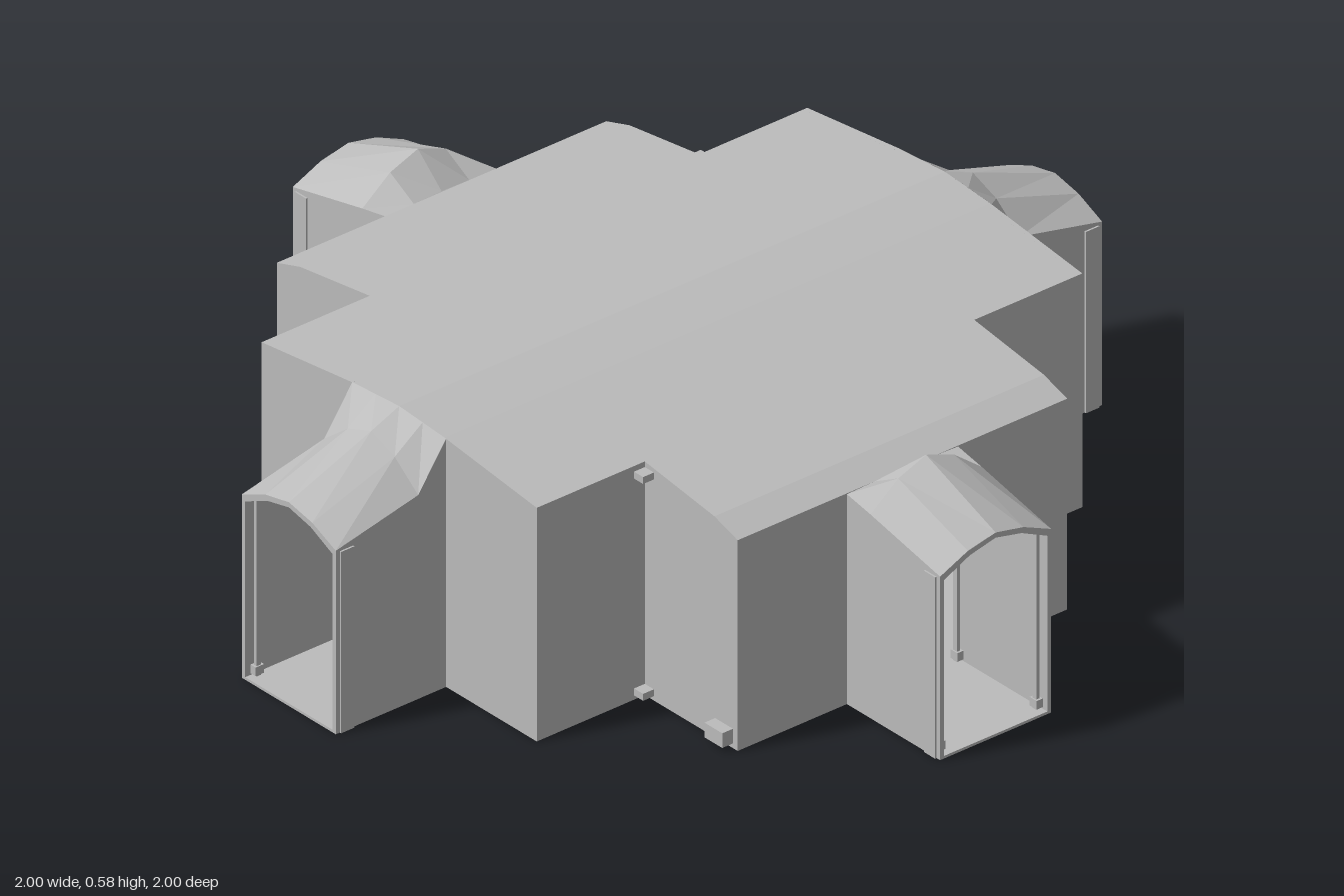
import * as THREE from 'three';

const fabric = new THREE.MeshStandardMaterial({ color: 0xbcbcbc, side: THREE.DoubleSide, flatShading: true });
fabric.name = 'greyFabric';

// Plan: a cross with arms IN..OUT, porches of half width P reaching END
const IN = 0.425, OUT = 0.712, P = 0.145, END = 1, T = 0.01;

// Right half of the curved roof line, [x, y]
const ROOF = [[0, 0.585], [0.14, 0.575], [IN, 0.541], [0.64, 0.511], [OUT, 0.488]];
const roofBetween = (a, b) => ROOF.filter(([x]) => x >= a && x <= b);

function add(parent, geometry, name, x = 0, y = 0, z = 0) {
  const mesh = new THREE.Mesh(geometry, fabric);
  mesh.name = name;
  mesh.position.set(x, y, z);
  parent.add(mesh);
  return mesh;
}

function box(parent, name, w, h, d, x, y, z) {
  return add(parent, new THREE.BoxGeometry(w, h, d), name, x, y, z);
}

// Flat outline in x/y, extruded along z and centred on z = 0
function slab(points, depth) {
  const shape = new THREE.Shape(points.map(([x, y]) => new THREE.Vector2(x, y)));
  return new THREE.ExtrudeGeometry(shape, { depth, bevelEnabled: false }).translate(0, 0, -depth / 2);
}

// Outline in z/y, made into a wall facing x
const sideSlab = (points, depth) => slab(points, depth).rotateY(-Math.PI / 2);

// Half arch of a porch section as [eave, shoulder, ridge] heights, spread over five points
function archPoints([eave, shoulder, ridge]) {
  return [[-P, eave], [-P / 2, shoulder], [0, ridge], [P / 2, shoulder], [P, eave]];
}

function porchRoof(sections) {
  const positions = [], index = [];
  sections.forEach(({ z, heights }) => archPoints(heights).forEach(([x, y]) => positions.push(x, y, z)));
  for (let s = 0; s < sections.length - 1; s++) {
    for (let i = 0; i < 4; i++) {
      const a = s * 5 + i, b = a + 1, c = a + 5, d = c + 1;
      index.push(a, b, c, b, d, c);
    }
  }
  let geometry = new THREE.BufferGeometry();
  geometry.setAttribute('position', new THREE.Float32BufferAttribute(positions, 3));
  geometry.setIndex(index);
  geometry = geometry.toNonIndexed();
  geometry.computeVertexNormals();
  return geometry;
}

// Entrance tunnel pointing to +z; innerHeights is where its roof meets the hall
function createPorch(name, innerHeights) {
  const porch = new THREE.Group();
  porch.name = name;
  const sections = [
    { z: END, heights: [0.425, 0.457, 0.472] },
    { z: 0.785, heights: [0.472, 0.528, 0.555] },
    { z: OUT, heights: innerHeights },
  ];
  add(porch, porchRoof(sections), 'porchRoof');

  for (const s of [-1, 1]) {
    const outline = [[OUT, 0], [END, 0], ...sections.map(({ z, heights }) => [z, heights[0]])];
    add(porch, sideSlab(outline, T), 'porchWall', s * (P - T / 2));
    // Door poles and their feet at both ends of the tunnel
    for (const z of [0.73, 0.975]) {
      box(porch, 'doorPole', 0.008, 0.415, 0.012, s * 0.126, 0.2075, z);
      box(porch, 'poleFoot', 0.022, 0.02, 0.022, s * 0.13, 0.02, z);
    }
    box(porch, 'edgeTrim', 0.006, 0.42, 0.035, s * (P + 0.001), 0.21, 0.972);
  }

  // Arched rim of the doorway
  const outer = archPoints([0.425, 0.457, 0.472]);
  const inner = outer.map(([x, y]) => [x * 0.93, y - 0.012]).reverse();
  add(porch, slab([...outer, ...inner], 0.03), 'doorArch', 0, 0, END - 0.015);
  return porch;
}

export function createModel() {
  const model = new THREE.Group();
  model.name = 'modularShelter';

  // Ground sheet: stepped cross including the porches
  const quarter = [[END, P], [OUT, P], [OUT, 0.43], [IN, 0.43], [IN, OUT], [P, OUT], [P, END]];
  const flip = (sx, sy) => quarter.map(([x, y]) => [x * sx, y * sy]);
  const plan = [...quarter, ...flip(-1, 1).reverse(), ...flip(-1, -1), ...flip(1, -1).reverse()];
  add(model, slab(plan, 0.006).rotateX(-Math.PI / 2), 'groundSheet', 0, 0.003, 0);

  // Curved roof: long middle bay and two shorter wings
  const middle = roofBetween(0, IN);
  const top = [...middle.slice(1).reverse().map(([x, y]) => [-x, y]), ...middle];
  add(model, slab([...top, ...top.map(([x, y]) => [x, y - T]).reverse()], OUT * 2), 'middleRoof');
  const wing = roofBetween(IN, OUT);
  for (const s of [-1, 1]) {
    const line = [...wing, ...wing.map(([x, y]) => [x, y - T]).reverse()].map(([x, y]) => [s * x, y]);
    add(model, slab(line, 0.86), 'wingRoof');
  }

  // Outer walls, mirrored into four quarters
  for (const sx of [-1, 1]) {
    for (const sz of [-1, 1]) {
      const endTop = [[P, 0.5745], [IN, 0.541]];
      const endWall = [[IN, 0], [P, 0], ...endTop].map(([x, y]) => [sx * x, y]);
      add(model, slab(endWall, T), 'endWall', 0, 0, sz * (OUT - T / 2));

      const wingWall = [[OUT, 0], [IN, 0], ...wing].map(([x, y]) => [sx * x, y]);
      add(model, slab(wingWall, T), 'wingWall', 0, 0, sz * (0.43 - T / 2));

      box(model, 'returnWall', T, 0.541, OUT - 0.43, sx * (IN - T / 2), 0.2705, sz * (OUT + 0.43) / 2);
      box(model, 'sideWall', T, 0.488, 0.43 - P, sx * (OUT - T / 2), 0.244, sz * (0.43 + P) / 2);

      // Small toggles in the inner corners
      const upper = sx === sz ? 0.52 : 0.185;
      for (const y of [0.018, upper]) {
        box(model, 'cornerToggle', 0.028, 0.016, 0.028, sx * (IN + 0.014), y, sz * 0.444);
      }
    }
    // Cable port low on one wing wall per side
    box(model, 'cablePort', 0.055, 0.034, 0.03, sx * 0.67, 0.028, sx * 0.443);
  }

  // Four entrances
  const ends = [0.575, 0.58, 0.585], sides = [0.486, 0.488, 0.49];
  ['frontPorch', 'leftPorch', 'backPorch', 'rightPorch'].forEach((name, i) => {
    const porch = createPorch(name, i % 2 ? sides : ends);
    porch.rotation.y = i * Math.PI / 2;
    model.add(porch);
  });

  return model;
}
